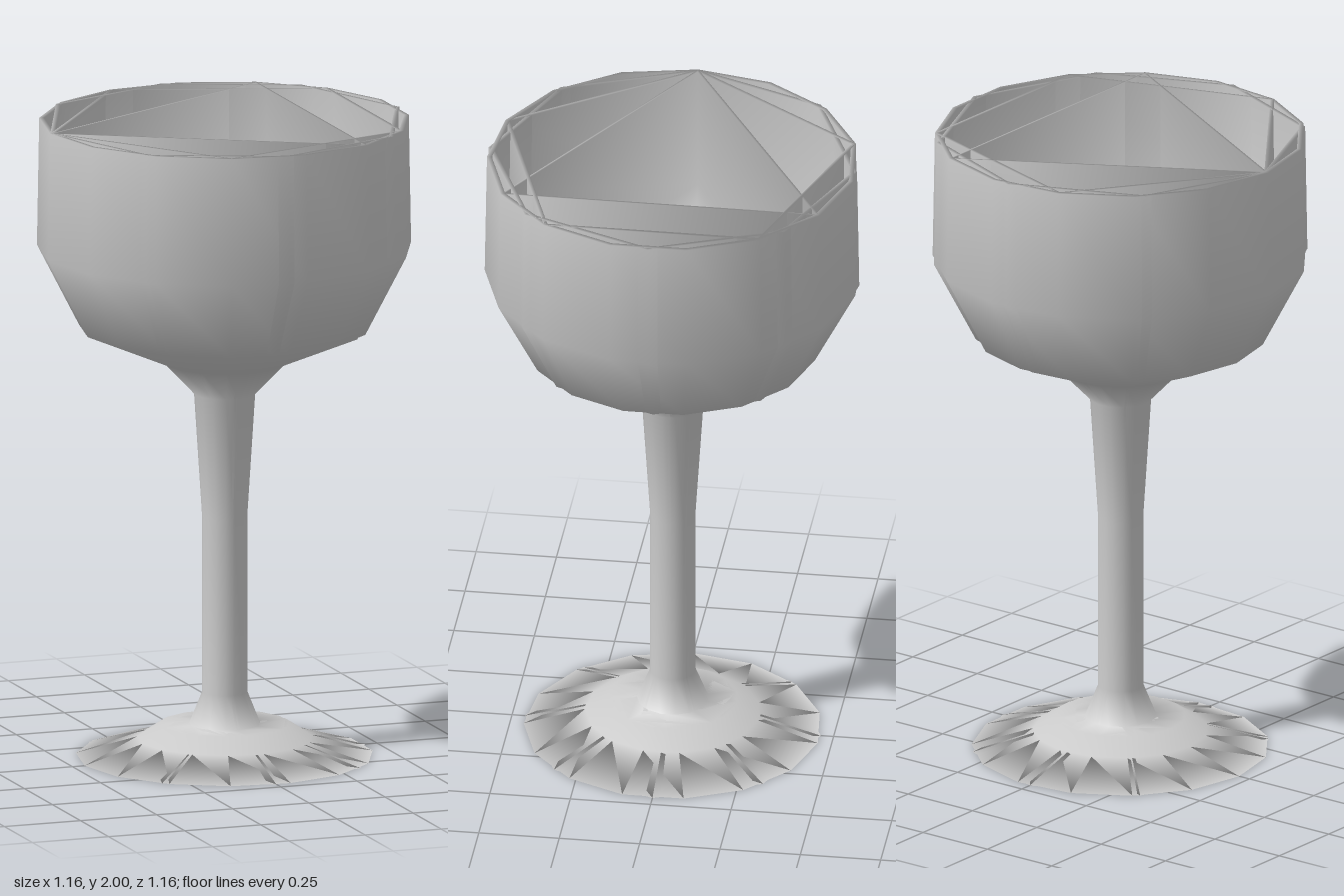
import * as THREE from 'three';

// Half cross-section [radius, height]: underside, foot, stem, bowl, rim, inside of bowl
const PROFILE = [
  [0, 0], [0.46, 0],
  [0.27, 0.055], [0.2, 0.1], [0.11, 0.1],
  [0.07, 0.2], [0.07, 0.75], [0.095, 1.14],
  [0.19, 1.24], [0.45, 1.35], [0.58, 1.6], [0.573, 2],
  [0.558, 2], [0.565, 1.6], [0.438, 1.365], [0.18, 1.26], [0, 1.22],
].map(([r, y]) => new THREE.Vector2(r, y));

export function createModel() {
  const group = new THREE.Group();
  group.name = 'goblet';
  const material = new THREE.MeshStandardMaterial({ color: 0xcccccc, side: THREE.DoubleSide });

  // Nested shells of decreasing detail, sharing one profile and a corner at -x
  for (const sides of [15, 8, 5, 3]) {
    const shell = new THREE.Mesh(
      new THREE.LatheGeometry(PROFILE, sides, -Math.PI / 2), material);
    shell.name = `gobletShell${sides}Sided`;
    group.add(shell);
  }
  return group;
}
